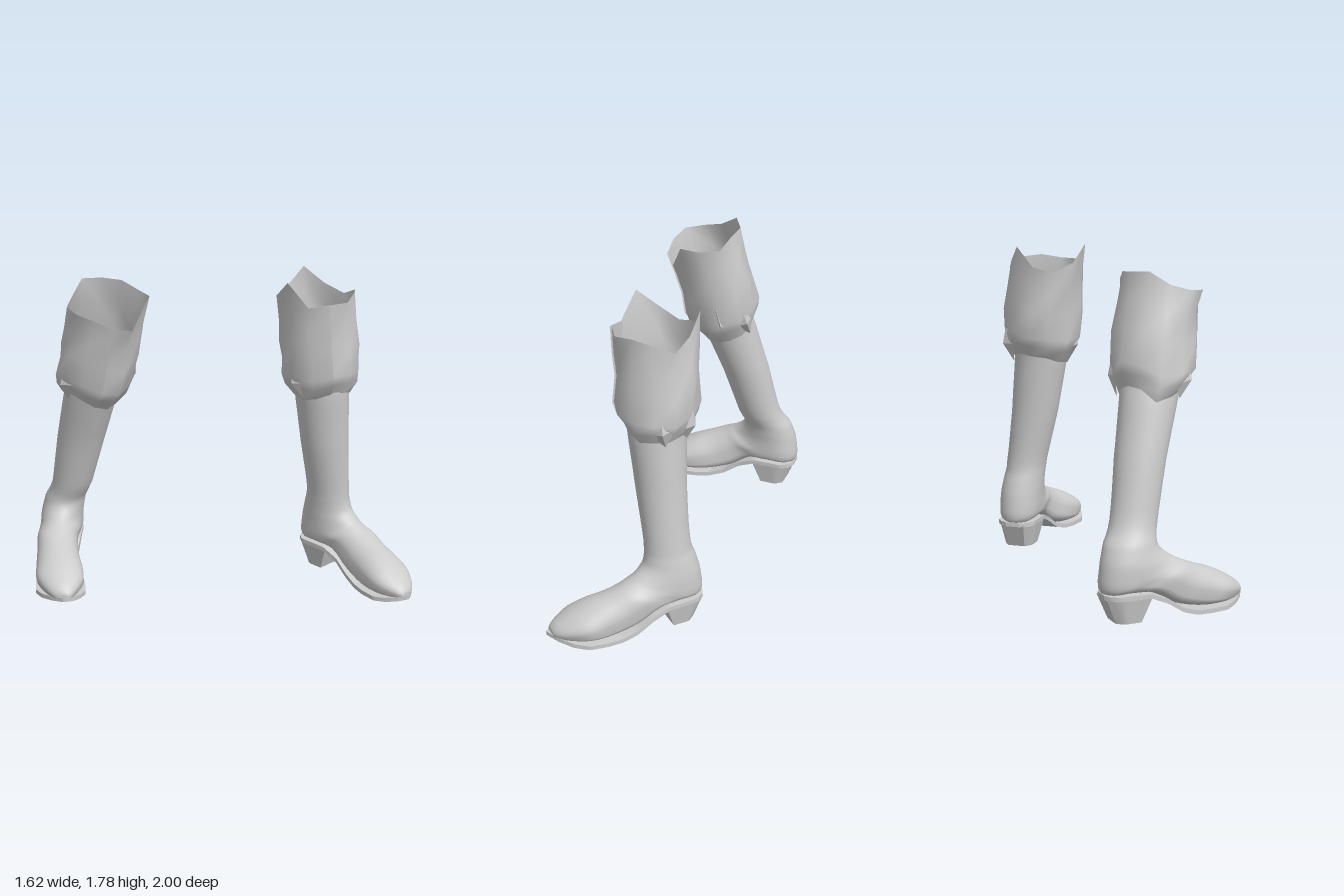
import * as THREE from 'three';

const leather = new THREE.MeshStandardMaterial({ color: 0xcccccc, side: THREE.DoubleSide });
leather.name = 'pale grey leather';

// Linear lookup in rows of [key, a, b, ...]
function lookup(table, k) {
  let i = 0;
  while (i < table.length - 2 && k > table[i + 1][0]) i++;
  const [p, q] = [table[i], table[i + 1]];
  const t = THREE.MathUtils.clamp((k - p[0]) / (q[0] - p[0]), 0, 1);
  return p.slice(1).map((v, n) => v + (q[n + 1] - v) * t);
}

// Skin over rows of points; closed rows wrap round
function skin(rows, cols, closed, flip, point) {
  const pos = [], index = [];
  for (let i = 0; i < rows; i++) for (let j = 0; j < cols; j++) pos.push(...point(i, j));
  for (let i = 0; i < rows - 1; i++) {
    for (let j = 0; j < (closed ? cols : cols - 1); j++) {
      const k = (j + 1) % cols;
      const a = i * cols + j, b = i * cols + k, c = a + cols, d = b + cols;
      if (flip) index.push(a, b, c, b, d, c);
      else index.push(a, c, b, b, c, d);
    }
  }
  const g = new THREE.BufferGeometry();
  g.setAttribute('position', new THREE.Float32BufferAttribute(pos, 3));
  g.setIndex(index);
  g.computeVertexNormals();
  return g;
}

// Box whose vertices are moved by a rule
function bentBox(segs, flip, rule) {
  const g = new THREE.BoxGeometry(1, 1, 1, ...segs);
  const p = g.attributes.position;
  for (let i = 0; i < p.count; i++) p.setXYZ(i, ...rule(p.getX(i), p.getY(i), p.getZ(i)));
  if (flip) g.index.array.reverse();
  g.computeVertexNormals();
  return g;
}

// Shaft and foot rings: front z, front y, half width, back z, back y, centre x, flatness underneath
const RINGS = [
  [0.16, 1.22, 0.155, -0.16, 1.22, 0, 0],
  [0.15, 1.05, 0.148, -0.15, 1.05, 0, 0],
  [0.135, 0.8, 0.135, -0.135, 0.8, 0, 0],
  [0.125, 0.5, 0.115, -0.125, 0.5, 0, 0],
  [0.13, 0.41, 0.117, -0.155, 0.38, 0.008, 0],
  [0.15, 0.362, 0.12, -0.178, 0.28, 0.012, 0.2],
  [0.2, 0.32, 0.12, -0.178, 0.155, 0.015, 0.5],
  [0.24, 0.297, 0.117, -0.055, 0.148, 0.015, 0.8],
  [0.285, 0.276, 0.114, 0.075, 0.14, 0.02, 1],
  [0.355, 0.246, 0.119, 0.205, 0.065, 0.005, 1],
  [0.445, 0.212, 0.132, 0.355, 0.025, -0.018, 1],
  [0.535, 0.167, 0.132, 0.475, 0.022, -0.033, 1],
  [0.615, 0.115, 0.088, 0.575, 0.025, -0.05, 1],
  [0.648, 0.08, 0.043, 0.643, 0.035, -0.065, 1],
  [0.652, 0.055, 0.004, 0.652, 0.04, -0.073, 1],
];
// Sole stations: z, centre x, half width, underside y
const SOLE = [
  [-0.18, 0.015, 0.04, 0.13], [-0.165, 0.015, 0.075, 0.13], [-0.12, 0.015, 0.108, 0.13],
  [0.05, 0.018, 0.114, 0.13], [0.145, 0.02, 0.112, 0.09], [0.235, 0.01, 0.118, 0.03],
  [0.32, -0.005, 0.13, 0.005], [0.4, -0.02, 0.141, 0.002], [0.5, -0.035, 0.141, 0.002],
  [0.57, -0.046, 0.108, 0.01], [0.63, -0.062, 0.06, 0.024], [0.67, -0.075, 0.006, 0.036],
];

const LEFT = {
  name: 'left', side: 1, turn: 0, x: 0.665, z: 0.325,
  lean: [[0.3, 0, 0], [0.5, -0.012, 0], [0.8, -0.063, 0.008], [1.1, -0.1, 0.012], [1.4, -0.12, 0], [1.7, -0.152, -0.005]],
  top: [1.67, 1.69, 1.68, 1.63, 1.68, 1.77, 1.66, 1.63, 1.68, 1.78, 1.65, 1.67],
  hem: [1.13, 1.11, 1.12, 1.12, 1.13, 1.15, 1.14, 1.13, 1.1, 1.09, 1.11, 1.14],
  folds: [1.2, 2.1, 4.6],
};
const RIGHT = {
  name: 'right', side: -1, turn: -0.83, x: -0.355, z: -0.83,
  lean: [[0.3, 0, 0], [0.4, 0.01, 0.015], [0.5, 0.012, 0.065], [0.8, 0.007, 0.16], [1.1, -0.005, 0.27], [1.2, -0.006, 0.315], [1.4, -0.002, 0.36], [1.7, -0.015, 0.46]],
  top: [1.54, 1.68, 1.68, 1.68, 1.73, 1.74, 1.75, 1.68, 1.65, 1.64, 1.61, 1.56],
  hem: [1.03, 1.04, 1.07, 1.1, 1.14, 1.17, 1.16, 1.1, 1.12, 1.14, 1.11, 1.06],
  folds: [1.0, 1.7, 4.5],
};

function makeBoot(b) {
  const boot = new THREE.Group();
  boot.name = b.name + 'Boot';
  const flip = b.side < 0;
  const add = (name, geometry) => {
    const m = new THREE.Mesh(geometry, leather);
    m.name = name;
    boot.add(m);
  };
  // Boot space to model space: mirror, turn, move and lean
  const place = (x, y, z) => {
    const [lx, lz] = lookup(b.lean, y), c = Math.cos(b.turn), s = Math.sin(b.turn);
    return [b.x + lx + b.side * x * c + z * s, y, b.z + lz - b.side * x * s + z * c];
  };

  // Shaft running into the foot
  const curve = (n) => new THREE.CatmullRomCurve3(
    RINGS.map((r) => new THREE.Vector3(r[n], r[n + 1], r[n + 2])), false, 'catmullrom', 0.5);
  const front = curve(0), back = curve(3), rows = 57, cols = 32;
  const flats = RINGS.map((r, i) => [i, r[6]]);
  add('shaftAndFoot', skin(rows, cols, true, flip, (i, j) => {
    const t = i / (rows - 1), F = front.getPoint(t), B = back.getPoint(t);
    const [flat] = lookup(flats, t * (RINGS.length - 1));
    const a = (j / cols) * Math.PI * 2;
    let k = Math.cos(a);
    if (k < 0) k = -Math.pow(-k, 1 - 0.55 * flat);
    const u = (k + 1) / 2;
    return place(B.z + Math.sin(a) * F.z, B.y + (F.y - B.y) * u, B.x + (F.x - B.x) * u);
  }));

  // Sole with a raised arch
  add('sole', bentBox([4, 1, 44], flip, (x, y, z) => {
    const s = -0.18 + (z + 0.5) * 0.85;
    const [c, w, base] = lookup(SOLE, s);
    return place(c + x * 2 * w, base + (y + 0.5) * 0.024, s);
  }));

  // Tapered heel block, rounded at the back
  add('heel', bentBox([4, 1, 8], flip, (x, y, z) => {
    const v = y + 0.5, u = z + 0.5;
    const zBack = -0.12 - 0.055 * v, zFront = 0.01 + 0.05 * v;
    const w = (0.083 + 0.025 * v) * (0.6 + 0.4 * Math.min(1, u / 0.3));
    return place(0.015 + x * 2 * w, v * 0.135, zBack + (zFront - zBack) * u);
  }));

  // Flared cuff with a torn edge, overlapping itself at a front seam
  const profile = [[0, 0.155], [0.12, 0.195], [0.22, 0.214], [0.5, 0.214], [0.75, 0.206], [1, 0.212]];
  const wobble = [0.01, -0.008, 0.006, 0.008, -0.01, 0.006];
  const onCuff = (a, y, r) => {
    const [lx, lz] = lookup(b.lean, y);
    return [b.x + lx + Math.sin(a) * r, y, b.z + lz + Math.cos(a) * r];
  };
  add('cuff', skin(profile.length, 14, false, false, (i, j) => {
    const n = (j + 10) % 12, [t, r] = profile[profile.length - 1 - i];
    const y = b.hem[n] + (b.top[n] - b.hem[n]) * t;
    return onCuff((n / 6) * Math.PI, y, r + (t > 0 ? wobble[(n + i) % 6] : 0) + j * 0.0008);
  }));

  // Pointed folds of leather lying along the cuff's hem
  b.folds.forEach((a) => {
    const tip = onCuff(a, 1.31, 0.212), left = onCuff(a - 0.3, 1.18, 0.18);
    const ridge = onCuff(a + 0.05, 1.2, 0.228), right = onCuff(a + 0.45, 1.21, 0.195), low = onCuff(a + 0.2, 1.1, 0.165);
    const g = new THREE.BufferGeometry();
    g.setAttribute('position', new THREE.Float32BufferAttribute(
      [tip, left, ridge, tip, ridge, right, left, low, ridge, ridge, low, right].flat(), 3));
    g.computeVertexNormals();
    add('cuffFold', g);
  });
  return boot;
}

export function createModel() {
  const model = new THREE.Group();
  model.name = 'pairOfBoots';
  model.add(makeBoot(LEFT), makeBoot(RIGHT));
  return model;
}
